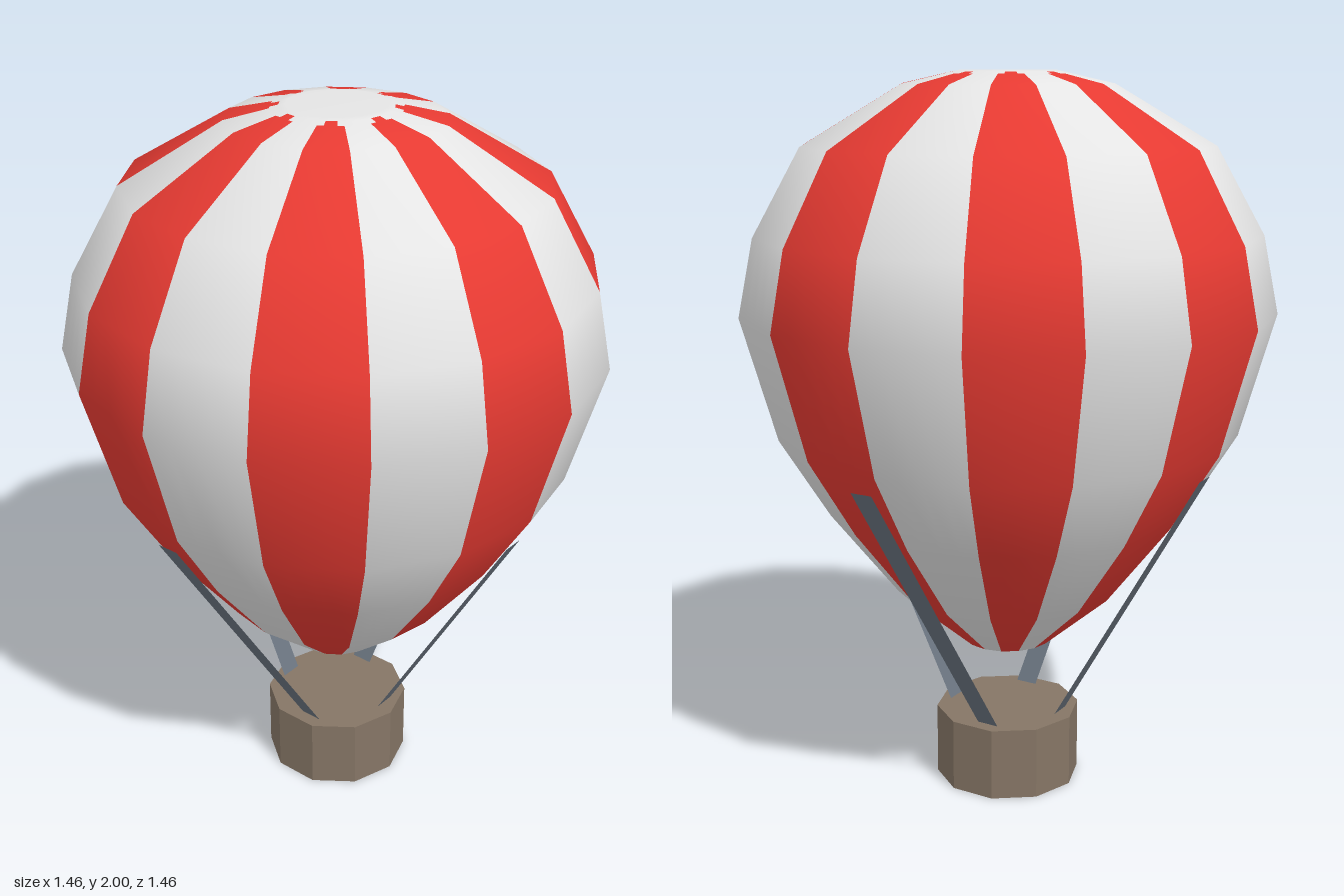
import * as THREE from 'three';

const material = (name, color, side = THREE.FrontSide) => {
  const m = new THREE.MeshStandardMaterial({ color, side });
  m.name = name;
  return m;
};

// Sixteen-sided envelope with alternating gores and an open mouth
function createEnvelope(white, red) {
  const gores = 16, sub = 4, segments = gores * sub;
  const profile = [
    [0.125, 0.413], [0.317, 0.577], [0.5, 0.81], [0.635, 1.03], [0.728, 1.367],
    [0.685, 1.575], [0.555, 1.806], [0.285, 1.965], [0.17, 1.991], [0.148, 1.996],
    [0.13, 2], [0, 2],
  ].map(([r, y]) => new THREE.Vector2(r, y));
  const geometry = new THREE.LatheGeometry(profile, segments);

  // Flatten the subdivided ring onto the straight sides of the polygon
  const pos = geometry.attributes.position;
  const half = Math.PI / gores;
  for (let i = 0; i <= segments; i++) {
    const offset = ((i % sub) / sub) * 2 * half - half;
    const k = Math.cos(half) / Math.cos(offset);
    for (let j = 0; j < profile.length; j++) {
      const v = i * profile.length + j;
      pos.setXYZ(v, pos.getX(v) * k, pos.getY(v), pos.getZ(v) * k);
    }
  }

  // Red on every second gore, narrowing at the tip below the white crown
  const rows = profile.length - 1, tipRow = 8;
  const index = Array.from(geometry.index.array);
  const faces = [[], []];
  // The lathe drops no faces, so each cell owns six indices
  for (let i = 0; i < segments; i++) {
    const odd = Math.floor(i / sub) % 2 === 1;
    const middle = i % sub === 1 || i % sub === 2;
    for (let j = 0; j < rows; j++) {
      const isRed = odd && (j < tipRow || (j === tipRow && middle));
      const start = (i * rows + j) * 6;
      faces[isRed ? 1 : 0].push(...index.slice(start, start + 6));
    }
  }
  geometry.setIndex([...faces[0], ...faces[1]]);
  geometry.clearGroups();
  geometry.addGroup(0, faces[0].length, 0);
  geometry.addGroup(faces[0].length, faces[1].length, 1);
  const mesh = new THREE.Mesh(geometry, [white, red]);
  mesh.name = 'envelope';
  return mesh;
}

// Flat slanting ribbon from the basket top to the envelope
function createStrap(mat) {
  const g = new THREE.BufferGeometry();
  g.setAttribute('position', new THREE.Float32BufferAttribute([
    -0.003, 0.205, 0.158, 0.06, 0.205, 0.158,
    -0.022, 0.98, 0.62, -0.085, 0.98, 0.62,
  ], 3));
  g.setIndex([0, 1, 2, 0, 2, 3]);
  g.computeVertexNormals();
  return new THREE.Mesh(g, mat);
}

export function createModel() {
  const model = new THREE.Group();
  model.name = 'hotAirBalloon';
  const white = material('white fabric', 0xe4e4e4, THREE.DoubleSide);
  const red = material('red fabric', 0xe63a32, THREE.DoubleSide);
  const brown = material('basket brown', 0x857565);
  const slate = material('strap slate', 0x69737e, THREE.DoubleSide);
  brown.flatShading = true;

  model.add(createEnvelope(white, red));

  // Ten-sided basket
  const basket = new THREE.Mesh(new THREE.CylinderGeometry(0.205, 0.205, 0.205, 10), brown);
  basket.position.y = 0.1025;
  basket.name = 'basket';
  model.add(basket);

  // Four straps repeated around the axis
  ['frontStrap', 'leftStrap', 'backStrap', 'rightStrap'].forEach((name, i) => {
    const strap = createStrap(slate);
    strap.name = name;
    strap.rotation.y = i * Math.PI / 2;
    model.add(strap);
  });
  return model;
}
